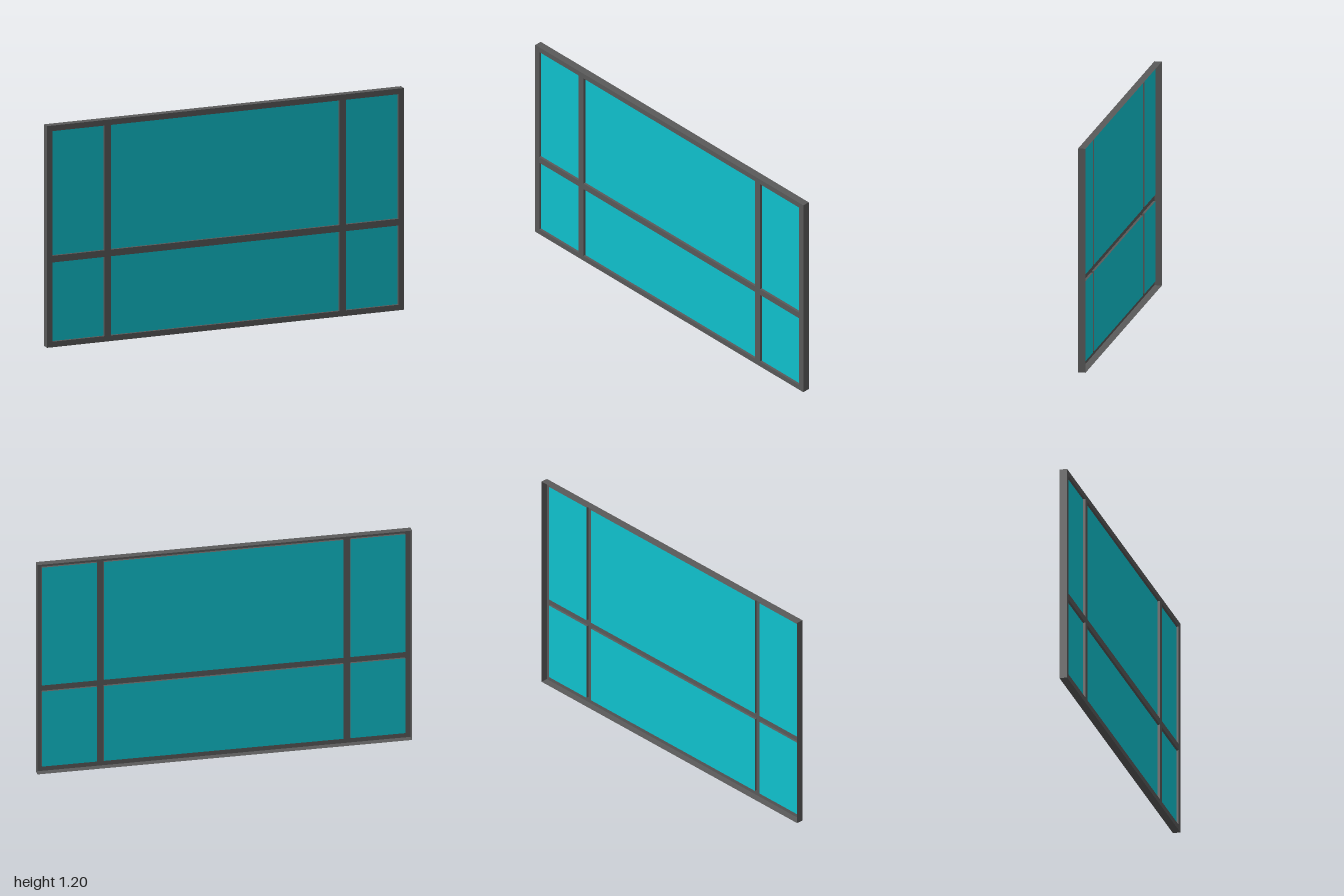
import * as THREE from 'three';

const HALF_W = 1, HEIGHT = 1.2;
const FRONT = 0.02, BACK = -0.02, GLASS_Z = 0.007;

// Opening edges between the border and the bars
const columns = [[-0.97, -0.677], [-0.64, 0.64], [0.677, 0.97]];
const rows = [[0.03, 0.459], [0.495, 1.17]];

const frameMaterial = new THREE.MeshStandardMaterial({ color: 0x5a5a5a, side: THREE.DoubleSide });
const glassMaterial = new THREE.MeshStandardMaterial({ color: 0x10c4d0, side: THREE.DoubleSide });

function addMesh(parent, name, geometry, material) {
  const mesh = new THREE.Mesh(geometry, material);
  mesh.name = name;
  parent.add(mesh);
  return mesh;
}

// Four thin walls around a rectangle; inward walls face its middle
function addWalls(parent, name, [x0, x1], [y0, y1], z0, z1, inward) {
  const group = new THREE.Group();
  group.name = name;
  const depth = z1 - z0, z = (z0 + z1) / 2;
  const cx = (x0 + x1) / 2, cy = (y0 + y1) / 2;
  for (const s of [-1, 1]) {
    const turn = inward ? -s : s;
    const side = addMesh(group, 'sideWall', new THREE.PlaneGeometry(depth, y1 - y0), frameMaterial);
    side.rotation.y = turn * Math.PI / 2;
    side.position.set(s < 0 ? x0 : x1, cy, z);
    const level = addMesh(group, 'levelWall', new THREE.PlaneGeometry(x1 - x0, depth), frameMaterial);
    level.rotation.x = -turn * Math.PI / 2;
    level.position.set(cx, s < 0 ? y0 : y1, z);
  }
  parent.add(group);
}

function rectangle(path, [x0, x1], [y0, y1]) {
  path.moveTo(x0, y0);
  path.lineTo(x1, y0);
  path.lineTo(x1, y1);
  path.lineTo(x0, y1);
  path.closePath();
  return path;
}

export function createModel() {
  const model = new THREE.Group();
  model.name = 'window';

  // Front face of the border and bars, hollow behind
  const outline = rectangle(new THREE.Shape(), [-HALF_W, HALF_W], [0, HEIGHT]);
  for (const column of columns)
    for (const row of rows) outline.holes.push(rectangle(new THREE.Path(), column, row));
  addMesh(model, 'frameFace', new THREE.ShapeGeometry(outline), frameMaterial).position.z = FRONT;

  // Outer rim running to the open back
  addWalls(model, 'outerRim', [-HALF_W, HALF_W], [0, HEIGHT], BACK, FRONT, false);

  // Recessed panes and the reveals around them
  for (const column of columns) {
    for (const row of rows) {
      addWalls(model, 'paneReveal', column, row, GLASS_Z, FRONT, true);
      const pane = new THREE.PlaneGeometry(column[1] - column[0], row[1] - row[0]);
      addMesh(model, 'glassPane', pane, glassMaterial)
        .position.set((column[0] + column[1]) / 2, (row[0] + row[1]) / 2, GLASS_Z);
    }
  }
  return model;
}
